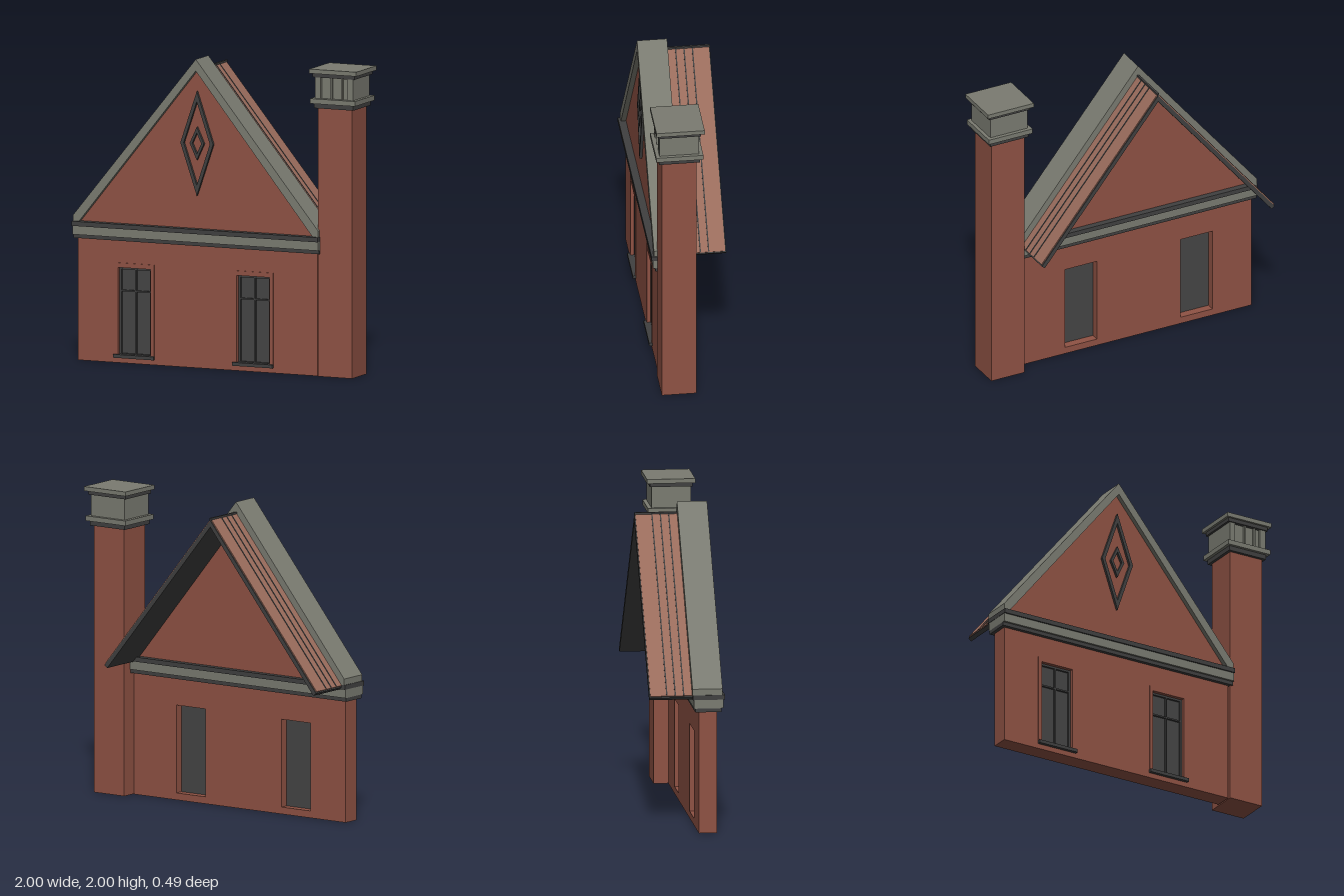
import * as THREE from 'three';

const mat = (name, color) => {
  const m = new THREE.MeshStandardMaterial({ color });
  m.name = name;
  return m;
};

export function createModel() {
  const brick = mat('brick', 0x8f5244);
  const stone = mat('stone grey', 0x7a7b71);
  const dark = mat('dark trim', 0x404040);
  const glass = mat('window glass', 0x454545);
  const tile = mat('roof tile', 0x9a6c5c);

  const house = new THREE.Group();
  house.name = 'gabledHouse';
  const RIDGE = -0.135;

  const add = (name, geometry, material, parent = house) => {
    const m = new THREE.Mesh(geometry, material);
    m.name = name;
    parent.add(m);
    return m;
  };
  // box given by its limits
  const box = (name, material, x0, x1, y0, y1, z0, z1, parent) => {
    const g = new THREE.BoxGeometry(x1 - x0, y1 - y0, z1 - z0);
    g.translate((x0 + x1) / 2, (y0 + y1) / 2, (z0 + z1) / 2);
    return add(name, g, material, parent);
  };
  const v = (pts) => pts.map(([x, y]) => new THREE.Vector2(x, y));
  // outline with holes, pushed from z0 to z1
  const plate = (name, material, pts, z0, z1, holes = [], parent) => {
    const s = new THREE.Shape(v(pts));
    holes.forEach((h) => s.holes.push(new THREE.Path(v(h))));
    const g = new THREE.ExtrudeGeometry(s, { depth: z1 - z0, bevelEnabled: false });
    g.translate(0, 0, z0);
    return add(name, g, material, parent);
  };
  const rect = (x0, x1, y0, y1) => [[x0, y0], [x1, y0], [x1, y1], [x0, y1]];
  const diamond = (w, h) => [[RIDGE - w, 1.45], [RIDGE, 1.45 - h], [RIDGE + w, 1.45], [RIDGE, 1.45 + h]];

  // wall and gable in one piece, with window openings
  const windowX = [-0.58, 0.255];
  const W = 0.115, SILL = 0.045, TOP = 0.615;
  plate('wall', brick,
    [[-0.975, 0], [0.705, 0], [0.705, 0.89], [RIDGE, 1.925], [-0.975, 0.89]], 0.075, 0.192,
    windowX.map((x) => rect(x - W, x + W, SILL, TOP)));

  // windows
  for (const x of windowX) {
    const win = new THREE.Group();
    win.name = 'window';
    house.add(win);
    box('glass', glass, x - W, x + W, SILL, TOP, 0.13, 0.158, win);
    plate('windowFrame', dark, rect(x - W, x + W, SILL, TOP), 0.158, 0.172, [
      rect(x - W + 0.014, x - 0.005, SILL + 0.014, 0.458),
      rect(x + 0.005, x + W - 0.014, SILL + 0.014, 0.458),
      rect(x - W + 0.014, x - 0.005, 0.468, TOP - 0.014),
      rect(x + 0.005, x + W - 0.014, 0.468, TOP - 0.014),
    ], win);
    plate('windowSurround', brick, rect(x - 0.14, x + 0.14, SILL, 0.645), 0.192, 0.197,
      [rect(x - W, x + W, SILL + 0.001, TOP)], win);
    box('sill', dark, x - 0.142, x + 0.142, 0.033, 0.055, 0.16, 0.214, win);
  }

  // cornice running round the wall
  box('corniceLower', dark, -0.998, 0.727, 0.79, 0.814, 0.05, 0.216);
  box('corniceMiddle', stone, -0.998, 0.727, 0.814, 0.87, 0.042, 0.23);
  box('corniceTop', dark, -1, 0.728, 0.87, 0.9, 0.034, 0.24);

  // raised gable coping
  plate('gableCoping', stone, [
    [-0.995, 0.9], [-0.955, 0.9], [RIDGE, 1.92], [0.685, 0.9],
    [0.725, 0.9], [0.725, 0.94], [RIDGE, 1.995], [-0.995, 0.94],
  ], 0.032, 0.225);

  // gable ornament
  plate('outerDiamond', dark, diamond(0.115, 0.337), 0.19, 0.21, [diamond(0.092, 0.27)]);
  plate('innerDiamond', dark, diamond(0.05, 0.107), 0.19, 0.21, [diamond(0.032, 0.068)]);

  // roof behind the gable: chevron section layers
  const chevron = (name, material, top, thick, z0, z1) => {
    const eave = top - 1.03;
    plate(name, material, [
      [-0.975, eave], [-0.975 + thick * 0.6, eave - thick * 0.5], [RIDGE, top - thick * 1.23],
      [0.705 - thick * 0.6, eave - thick * 0.5], [0.705, eave], [RIDGE, top],
    ], z0, z1);
  };
  chevron('roofDeck', dark, 1.915, 0.035, -0.243, 0.07);
  chevron('roofTiles', tile, 1.926, 0.009, -0.236, 0.06);
  for (const z of [-0.13, -0.076, -0.022]) {
    chevron('roofSeam', dark, 1.93, 0.013, z - 0.004, z + 0.004);
  }
  box('ridgeStrip', dark, RIDGE - 0.007, RIDGE + 0.007, 1.912, 1.93, -0.243, 0.04);

  // chimney
  const chimney = new THREE.Group();
  chimney.name = 'chimney';
  house.add(chimney);
  const layer = (name, m, x0, x1, y0, y1, z0, z1) => box(name, m, x0, x1, y0, y1, z0, z1, chimney);
  layer('shaft', brick, 0.714, 0.952, 0, 1.74, -0.02, 0.203);
  layer('lowerBand', dark, 0.695, 0.97, 1.732, 1.763, -0.04, 0.223);
  layer('lowerSlab', stone, 0.675, 0.99, 1.763, 1.795, -0.06, 0.243);
  layer('ventCore', stone, 0.7, 0.967, 1.795, 1.935, -0.035, 0.203);
  for (const [a, b] of [[0.7, 0.74], [0.81, 0.82], [0.882, 0.892], [0.925, 0.967]]) {
    layer('ventBar', stone, a, b, 1.795, 1.935, 0.203, 0.22);
  }
  layer('upperBand', dark, 0.685, 0.98, 1.932, 1.957, -0.046, 0.228);
  layer('cap', stone, 0.67, 1, 1.957, 1.985, -0.067, 0.243);

  return house;
}
